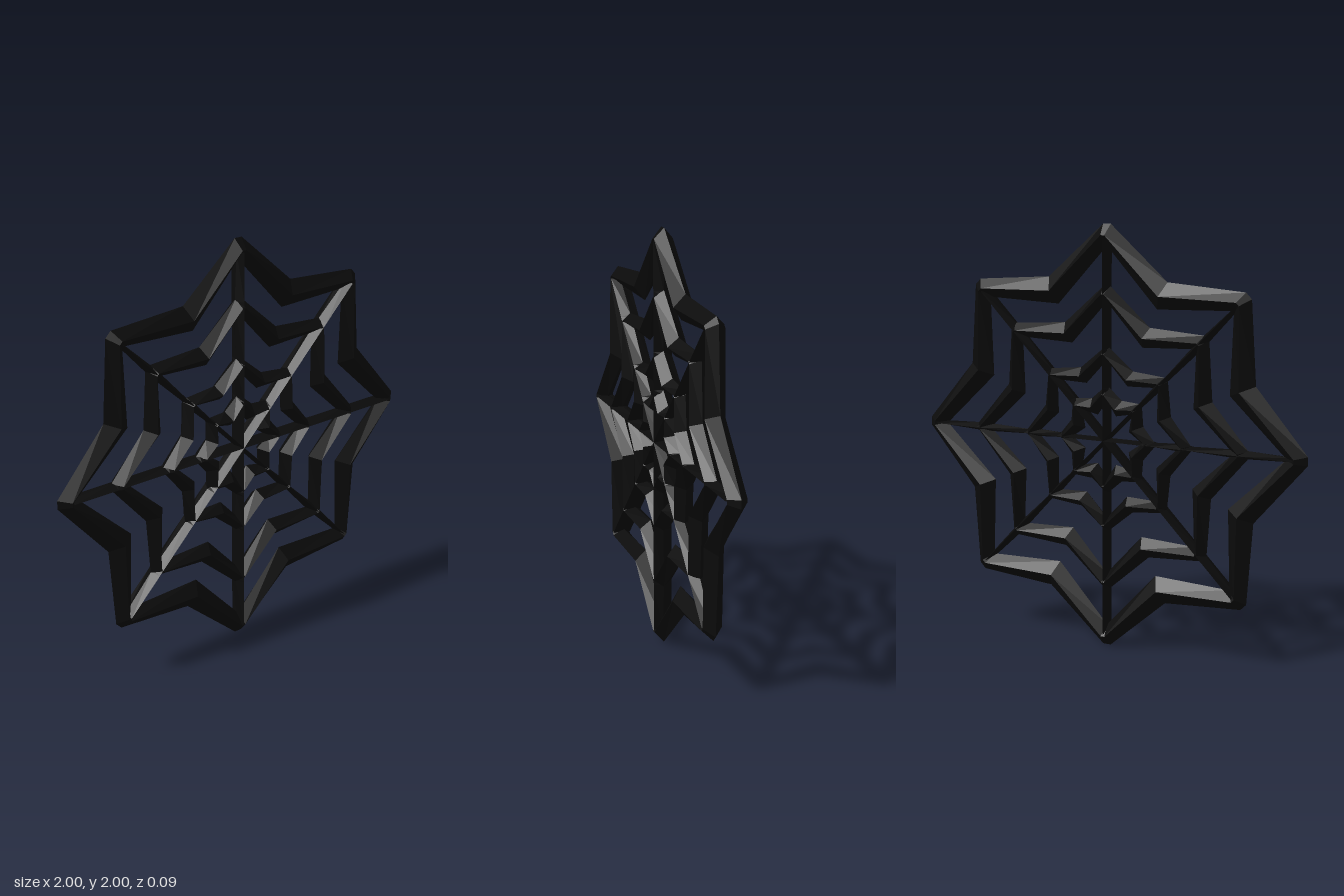
import * as THREE from 'three';

const POINTS = 8;
const STEP = (Math.PI * 2) / POINTS;
const DEPTH = 0.045;

const material = new THREE.MeshStandardMaterial({ color: 0x0a0a0a, flatShading: true });

// Skins a row of four-cornered cross-sections, optionally joined end to start
function loft(sections, closed) {
  const positions = [];
  const count = closed ? sections.length : sections.length - 1;
  for (let i = 0; i < count; i++) {
    const a = sections[i];
    const b = sections[(i + 1) % sections.length];
    for (let j = 0; j < 4; j++) {
      const k = (j + 1) % 4;
      for (const p of [a[j], a[k], b[j], b[j], a[k], b[k]]) positions.push(...p);
    }
  }
  const geometry = new THREE.BufferGeometry();
  geometry.setAttribute('position', new THREE.Float32BufferAttribute(positions, 3));
  geometry.computeVertexNormals();
  return geometry;
}

// Diamond cross-section at an angle from the top; shift slides it sideways at the blunt tips
function diamond(angle, outer, inner, depth, shift = 0) {
  const at = (r, s, z) => [
    Math.sin(angle) * r + Math.cos(angle) * s,
    Math.cos(angle) * r - Math.sin(angle) * s,
    z,
  ];
  const mid = (outer + inner) / 2;
  return [
    at(outer, shift, 0),
    at(mid, shift * 0.5, depth),
    at(inner, shift * 0.02, 0),
    at(mid, shift * 0.5, -depth),
  ];
}

// Star-shaped ring: thin blunt tips on the spokes, thicker valleys between them
function starRing({ tip, valley, blunt }) {
  const sections = [];
  for (let i = 0; i < POINTS; i++) {
    const angle = i * STEP;
    sections.push(diamond(angle, ...tip, DEPTH, -blunt));
    sections.push(diamond(angle, ...tip, DEPTH, blunt));
    sections.push(diamond(angle + STEP / 2, ...valley, DEPTH + 0.002));
  }
  return loft(sections, true);
}

// Flat spoke whose width swells at each ring: [radius, half width]
function spokeGeometry() {
  const profile = [
    [0, 0.01], [0.19, 0.011], [0.23, 0.019], [0.25, 0.011],
    [0.41, 0.02], [0.43, 0.011], [0.69, 0.021], [0.71, 0.019], [0.94, 0.009],
  ];
  return loft(profile.map(([r, w]) => [[0, r, DEPTH], [w, r, 0], [0, r, -DEPTH], [-w, r, 0]]), false);
}

export function createModel() {
  const model = new THREE.Group();
  model.name = 'spiderWeb';
  const web = new THREE.Group();
  web.name = 'web';
  web.position.y = 1;
  model.add(web);

  // Four concentric rings, outermost first; each pair is outer and inner radius
  const rings = [
    { tip: [1.0, 0.9], valley: [0.81, 0.675], blunt: 0.02 },
    { tip: [0.72, 0.645], valley: [0.583, 0.482], blunt: 0.015 },
    { tip: [0.435, 0.375], valley: [0.36, 0.282], blunt: 0.012 },
    { tip: [0.25, 0.185], valley: [0.207, 0.125], blunt: 0.01 },
  ];
  rings.forEach((ring, i) => {
    const mesh = new THREE.Mesh(starRing(ring), material);
    mesh.name = `ring${i + 1}`;
    web.add(mesh);
  });

  // Spokes from the centre to every tip
  const spoke = spokeGeometry();
  for (let i = 0; i < POINTS; i++) {
    const mesh = new THREE.Mesh(spoke, material);
    mesh.name = `spoke${i + 1}`;
    mesh.rotation.z = -i * STEP;
    web.add(mesh);
  }
  return model;
}
